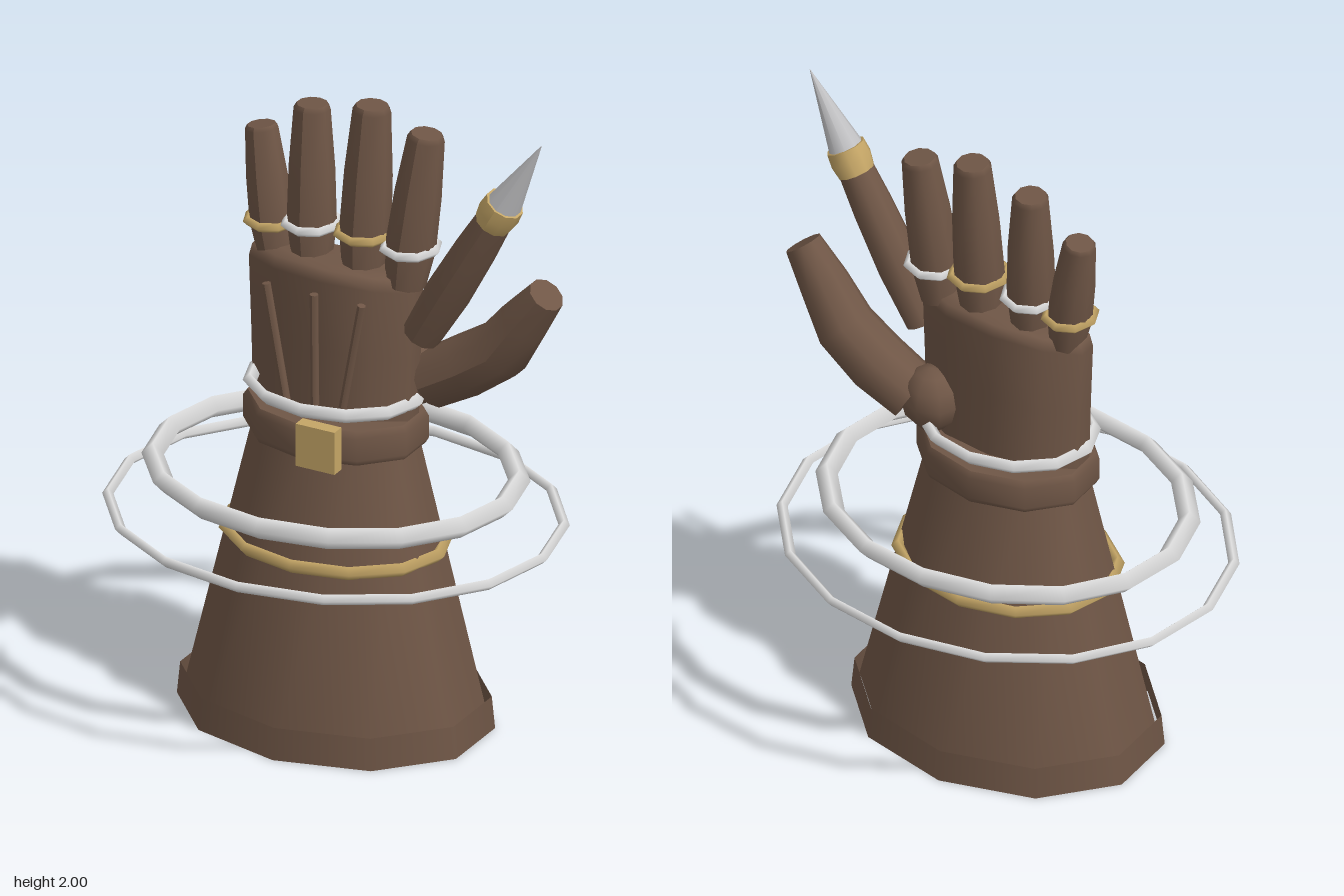
import * as THREE from 'three';

const make = (name, color, side = THREE.FrontSide) => {
  const m = new THREE.MeshStandardMaterial({ color, side });
  m.name = name;
  return m;
};

export function createModel() {
  const model = new THREE.Group();
  model.name = 'clawedGauntlet';
  const leather = make('brown leather', 0x6f5646, THREE.DoubleSide);
  const silver = make('bright silver', 0xe0e0e0);
  const steel = make('claw steel', 0xc0c0c2);
  const gold = make('gold', 0xc4a566);
  const lining = make('navy lining', 0x08081f, THREE.BackSide);
  const CX = -0.01; // axis of the forearm

  const add = (name, geometry, material, x = 0, y = 0, z = 0) => {
    const mesh = new THREE.Mesh(geometry, material);
    mesh.name = name;
    mesh.position.set(x, y, z);
    model.add(mesh);
    return mesh;
  };

  // Open oval ten-sided sleeve between two heights
  const sleeve = (name, y0, r0, y1, r1, depth, material) => {
    const g = new THREE.CylinderGeometry(r1, r0, y1 - y0, 10, 1, true);
    g.scale(1, 1, depth);
    return add(name, g, material, CX, (y0 + y1) / 2);
  };

  // Ten-sided turned part with a depth rule
  const turned = (name, profile, depthAt) => {
    const g = new THREE.LatheGeometry(profile.map(p => new THREE.Vector2(...p)), 10);
    const pos = g.attributes.position;
    for (let i = 0; i < pos.count; i++) pos.setZ(i, pos.getZ(i) * depthAt(pos.getY(i)));
    return add(name, g, leather, CX);
  };

  // Horizontal oval ring of diamond section: half width, half depth, tube radius
  const ring = (name, x, y, z, hw, hd, tube, segments, material) => {
    const g = new THREE.TorusGeometry(hw - tube, tube, 4, segments);
    g.rotateX(Math.PI / 2);
    g.scale(1, 1, hd / hw);
    return add(name, g, material, x, y, z);
  };

  // Limb lofted through centres [x, y, z, radius]
  const limb = (name, stations, material, sides = 10) => {
    const n = stations.length - 1;
    const pts = stations.map(s => new THREE.Vector3(s[0], s[1], s[2]));
    const frames = pts.map((p, i) => {
      const t = pts[Math.min(i + 1, n)].clone().sub(pts[Math.max(i - 1, 0)]).normalize();
      const w = new THREE.Vector3(0, 0, 1).addScaledVector(t, -t.z).normalize();
      return { u: t.clone().cross(w), w };
    });
    const g = new THREE.CylinderGeometry(1, 1, 1, sides, n);
    const pos = g.attributes.position;
    for (let k = 0; k < pos.count; k++) {
      const i = Math.round((pos.getY(k) + 0.5) * n), r = stations[i][3];
      const v = pts[i].clone()
        .addScaledVector(frames[i].u, pos.getX(k) * r)
        .addScaledVector(frames[i].w, pos.getZ(k) * r);
      pos.setXYZ(k, v.x, v.y, v.z);
    }
    g.computeVertexNormals();
    return add(name, g, material);
  };

  // Straight limb with a radius profile of [fraction, radius]
  const straight = (name, a, b, profile, material, sides) => limb(name,
    profile.map(([t, r]) => [...a.map((v, i) => v + (b[i] - v) * t), r]), material, sides);

  // Forearm with a rim and dark inside
  sleeve('forearm', 0.05, 0.459, 0.9, 0.256, 0.78, leather);
  sleeve('forearmLining', 0.05, 0.425, 0.88, 0.245, 0.78, lining);
  const rim = new THREE.RingGeometry(0.425, 0.459, 10, 1, Math.PI / 2);
  rim.rotateX(Math.PI / 2);
  rim.scale(1, 1, 0.78);
  add('forearmRim', rim, leather, CX, 0.05);
  sleeve('bottomCuff', 0, 0.484, 0.1, 0.474, 0.785, leather);

  // Wrist band with its plate
  turned('wristBand', [[0, 0.89], [0.274, 0.893], [0.274, 0.893], [0.284, 0.91], [0.284, 0.98],
    [0.27, 1.0], [0.27, 1.0], [0, 1.005]], () => 0.76);
  add('wristPlate', new THREE.BoxGeometry(0.128, 0.135, 0.042), gold, 0.052, 0.952, 0.217);

  // Rings around the arm
  ring('outerHalo', CX, 0.645, 0, 0.697, 0.605, 0.017, 16, silver);
  ring('innerHalo', CX, 0.78, 0, 0.583, 0.491, 0.034, 16, silver);
  ring('forearmRing', CX, 0.575, 0, 0.357, 0.284, 0.021, 12, gold);
  ring('wristRing', CX, 1.05, 0, 0.284, 0.226, 0.022, 12, silver);

  // Palm, thinner toward the knuckles, and raised tendons
  turned('palm', [[0.268, 0.99], [0.276, 1.2], [0.286, 1.41], [0.275, 1.45], [0.2, 1.46], [0, 1.465]],
    y => 0.42 - (y - 0.99) * 0.24);
  for (const [x0, x1] of [[-0.1, -0.167], [-0.01, -0.01], [0.073, 0.147]])
    straight('tendon', [x0, 1.0, 0.125], [x1, 1.39, 0.132], [[0, 0.013], [1, 0.013]], leather, 8);

  // Fingers with rings: base x, tip x, tip y, radius, ring y
  [
    [-0.212, -0.272, 1.81, 0.067, 1.525, gold],
    [-0.093, -0.104, 1.915, 0.074, 1.545, silver],
    [0.076, 0.094, 1.955, 0.077, 1.555, gold],
    [0.216, 0.274, 1.905, 0.075, 1.54, silver],
  ].forEach(([x0, x1, top, r, ringY, metal]) => {
    straight('finger', [x0, 1.42, -0.005], [x1, top, -0.028],
      [[0, r * 0.8], [0.25, r], [0.6, r * 0.93], [0.97, r * 0.74], [1, r * 0.62]], leather);
    const t = (ringY - 1.42) / (top - 1.42);
    ring('fingerRing', x0 + (x1 - x0) * t, ringY, -0.011, r + 0.018, r + 0.024, 0.015, 8, metal);
  });

  // Clawed finger
  const root = [0.285, 1.285, 0.022], tip = [0.7, 2.0, 0.058];
  straight('clawFinger', root, tip, [[0, 0.058], [0.22, 0.067], [0.45, 0.062], [0.64, 0.052]], leather);
  straight('clawCollar', root, tip, [[0.595, 0.056], [0.645, 0.063], [0.695, 0.059]], gold);
  straight('claw', root, tip, [[0.67, 0.056], [1, 0.001]], steel);

  // Thumb and its base
  limb('thumb', [
    [0.26, 1.095, -0.075, 0.088], [0.38, 1.165, -0.083, 0.094], [0.495, 1.245, -0.077, 0.09],
    [0.575, 1.36, -0.064, 0.075], [0.655, 1.465, -0.053, 0.056]], leather);
  const mound = new THREE.SphereGeometry(1, 8, 6);
  mound.scale(0.095, 0.105, 0.085);
  add('thumbBase', mound, leather, 0.2, 1.105, -0.08);

  return model;
}
